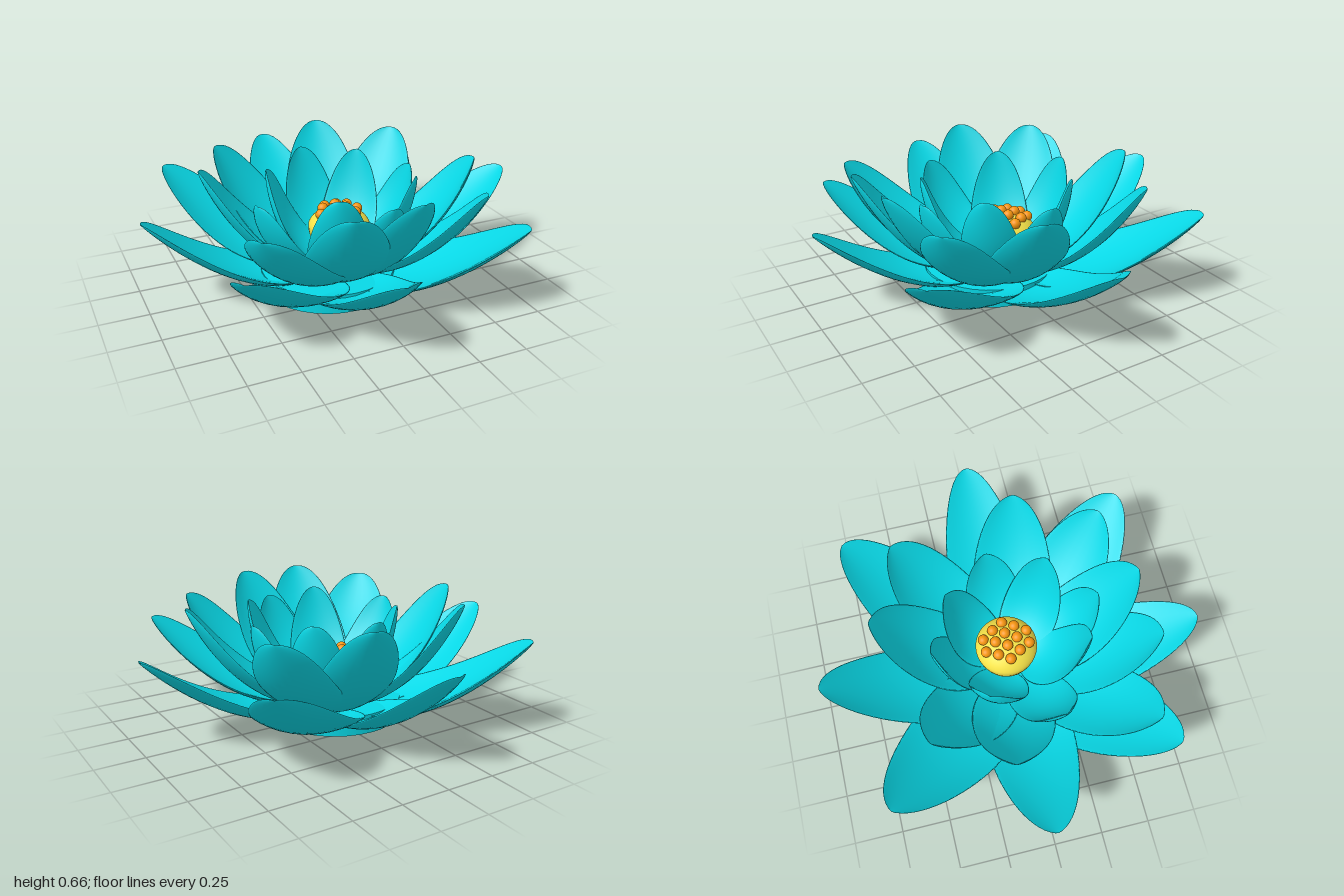
import * as THREE from 'three';

const petalMat = new THREE.MeshStandardMaterial({ color: 0x08d8e6 });
const podMat = new THREE.MeshStandardMaterial({ color: 0xf5e248 });
const seedMat = new THREE.MeshStandardMaterial({ color: 0xf89610 });

// Cupped, thin closed petal: lens-shaped sections swept along a curve in the zy plane (+z is outward)
function petalGeometry(curve, width, { cup, roll, blunt }) {
  const rows = 30, ring = 28, thickness = 0.016, pos = [], index = [];
  for (let i = 0; i <= rows; i++) {
    const t = (1 - Math.cos((Math.PI * i) / rows)) / 2;
    const c = curve.getPoint(t), d = curve.getTangent(t);
    // Narrow foot, wide middle, rounded tip
    const f = Math.sqrt((1 - Math.pow(1 - t, 5)) * Math.max(0, 1 - Math.pow(t, blunt)));
    const w = width * f;
    for (let j = 0; j < ring; j++) {
      const v = (2 * Math.PI * j) / ring, s = Math.cos(v);
      const n = w * (cup * s * s + roll * s) + thickness * f * Math.sin(v);
      pos.push(w * s, c.y + d.x * n, c.x - d.y * n);
    }
  }
  for (let i = 0; i < rows; i++) {
    for (let j = 0; j < ring; j++) {
      const k = (j + 1) % ring, a = i * ring + j, b = i * ring + k;
      index.push(a, b, a + ring, b, b + ring, a + ring);
    }
  }
  const g = new THREE.BufferGeometry();
  g.setAttribute('position', new THREE.Float32BufferAttribute(pos, 3));
  g.setIndex(index);
  g.computeVertexNormals();
  return g;
}

// One ring of petals, each aimed at its tip [x, z, y, width scale]
function petalRing(name, tips, o) {
  const ring = new THREE.Group();
  ring.name = name;
  tips.forEach(([x, z, y, scale = 1]) => {
    const dx = x - o.cx, dz = z - o.cz, r = Math.hypot(dx, dz);
    const curve = new THREE.QuadraticBezierCurve(
      new THREE.Vector2(o.r0, o.y0), new THREE.Vector2(r * o.bend, o.yBend), new THREE.Vector2(r, y));
    const petal = new THREE.Mesh(petalGeometry(curve, o.width * scale, o), petalMat);
    petal.name = name.replace('Petals', 'Petal');
    petal.position.set(o.cx, 0, o.cz);
    petal.rotation.y = Math.atan2(dx, dz);
    ring.add(petal);
  });
  return ring;
}

export function createModel() {
  const flower = new THREE.Group();
  flower.name = 'lotusFlower';

  // Round base
  const base = new THREE.Mesh(new THREE.CylinderGeometry(0.35, 0.35, 0.1, 32), petalMat);
  base.name = 'base';
  base.position.set(-0.065, 0.05, 0.03);
  flower.add(base);

  // Three rings of petals, low and wide to tall and narrow
  flower.add(petalRing('outerPetals', [
    [-0.06, -0.97, 0.5], [0.7, -0.73, 0.47, 1.12], [1, 0, 0.47], [0.66, 0.75, 0.46, 1.12],
    [-0.11, 0.965, 0.44], [-0.72, 0.69, 0.45, 1.05], [-1, -0.01, 0.48], [-0.72, -0.74, 0.48, 1.12],
  ], { cx: -0.04, cz: 0.01, r0: 0.14, y0: 0.06, bend: 0.54, yBend: 0.005, width: 0.25, cup: 0.25, roll: 0.08, blunt: 2.5 }));

  flower.add(petalRing('middlePetals', [
    [0.16, -0.66, 0.65], [0.56, -0.48, 0.61], [0.69, 0.19, 0.63], [0.51, 0.6, 0.6], [0.12, 0.69, 0.66],
    [-0.23, 0.71, 0.65], [-0.61, 0.6, 0.58], [-0.68, -0.13, 0.65], [-0.49, -0.49, 0.64],
  ], { cx: -0.01, cz: 0.01, r0: 0.1, y0: 0.07, bend: 0.68, yBend: 0.15, width: 0.225, cup: 0.3, roll: 0, blunt: 3.5 }));

  flower.add(petalRing('innerPetals', [
    [-0.04, -0.4, 0.6], [0.24, -0.27, 0.59], [0.43, -0.02, 0.56], [0.31, 0.27, 0.61],
    [0.08, 0.48, 0.56], [-0.15, 0.38, 0.6], [-0.48, 0.17, 0.55], [-0.32, -0.17, 0.59],
  ], { cx: 0, cz: 0, r0: 0.06, y0: 0.09, bend: 0.85, yBend: 0.16, width: 0.165, cup: 0.3, roll: 0, blunt: 3.5 }));

  // Domed seed pod
  const pod = new THREE.Group();
  pod.name = 'seedPod';
  pod.position.set(0.018, 0, -0.01);
  const profile = [[0, 0.06], [0.08, 0.07], [0.13, 0.16], [0.16, 0.27], [0.152, 0.315], [0.11, 0.355], [0.06, 0.373], [0, 0.38]];
  const curve = new THREE.SplineCurve(profile.map(([x, y]) => new THREE.Vector2(x, y)));
  const points = curve.getPoints(28);
  points.forEach((p) => { p.x = Math.max(0, p.x); });
  const dome = new THREE.Mesh(new THREE.LatheGeometry(points, 40), podMat);
  dome.name = 'podDome';
  pod.add(dome);

  // Seeds in staggered rows on the dome
  const seedGeo = new THREE.SphereGeometry(0.028, 20, 14);
  [2, 3, 4, 3, 2].forEach((count, row) => {
    for (let i = 0; i < count; i++) {
      const x = (i - (count - 1) / 2) * 0.068, z = (row - 2) * 0.057;
      const seed = new THREE.Mesh(seedGeo, seedMat);
      seed.name = 'seed';
      seed.position.set(x, 0.39 - 2.4 * (x * x + z * z), z);
      pod.add(seed);
    }
  });
  flower.add(pod);
  return flower;
}
